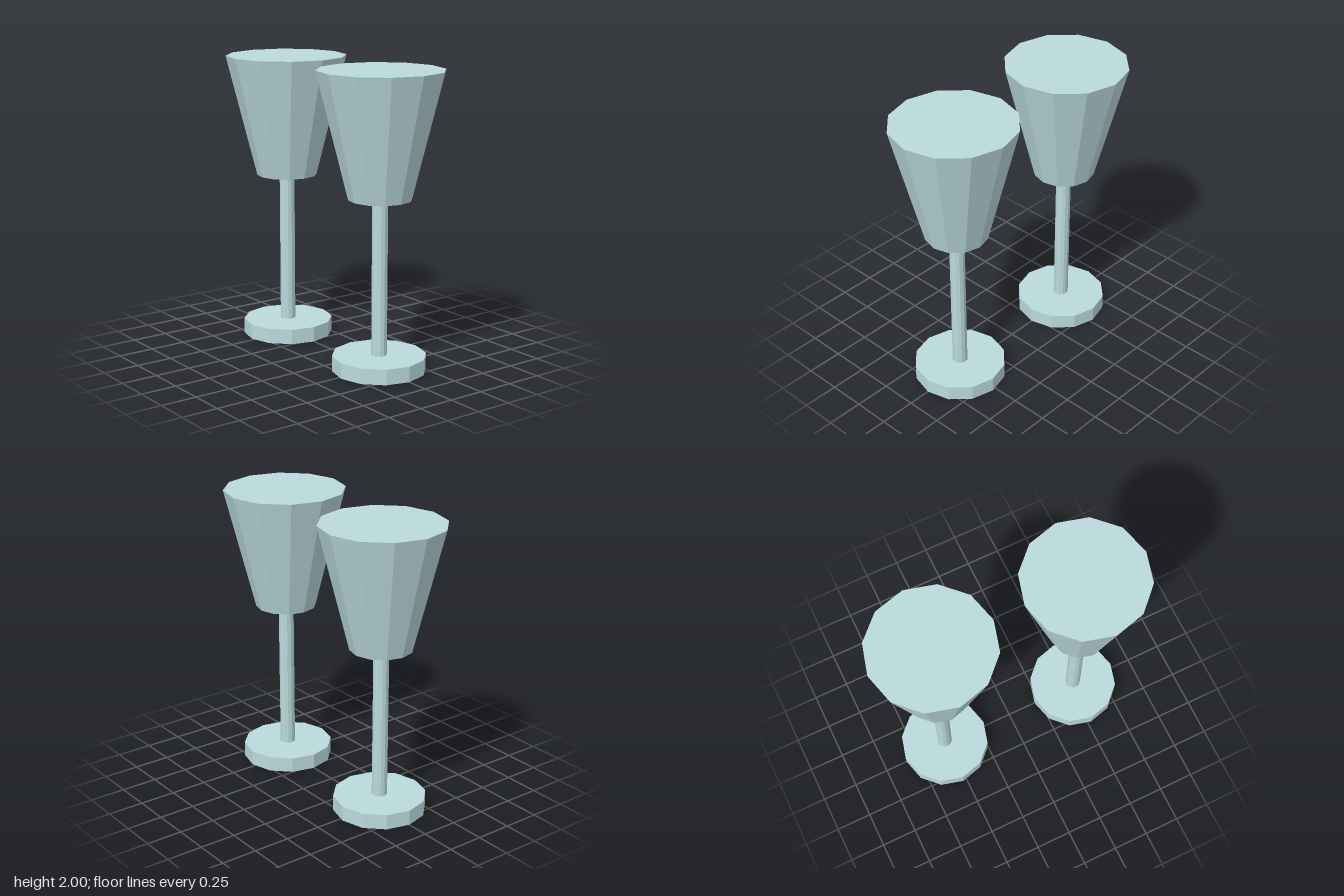
import * as THREE from 'three';

const SIDES = 12;
const UNIT = 2 / 19; // glass is 19 modules tall

export function createModel() {
  const model = new THREE.Group();
  model.name = 'wineGlasses';
  const glass = new THREE.MeshStandardMaterial({ color: 0xbbdadd, flatShading: true });
  glass.name = 'paleGlass';

  // Faceted round part from height y0 to y1, in modules
  const addPart = (parent, name, rTop, rBottom, y0, y1) => {
    const geometry = new THREE.CylinderGeometry(rTop, rBottom, y1 - y0, SIDES);
    const mesh = new THREE.Mesh(geometry, glass);
    mesh.name = name;
    mesh.position.y = (y0 + y1) / 2;
    parent.add(mesh);
  };

  // Matching pair of glasses
  for (const [name, side] of [['leftGlass', 1], ['rightGlass', -1]]) {
    const goblet = new THREE.Group();
    goblet.name = name;
    addPart(goblet, 'foot', 3, 3, 0, 1);
    addPart(goblet, 'stem', 0.5, 0.5, 1, 11);
    addPart(goblet, 'bowl', 4, 2, 11, 19);
    goblet.scale.setScalar(UNIT);
    goblet.position.x = side * 5 * UNIT;
    model.add(goblet);
  }
  return model;
}
